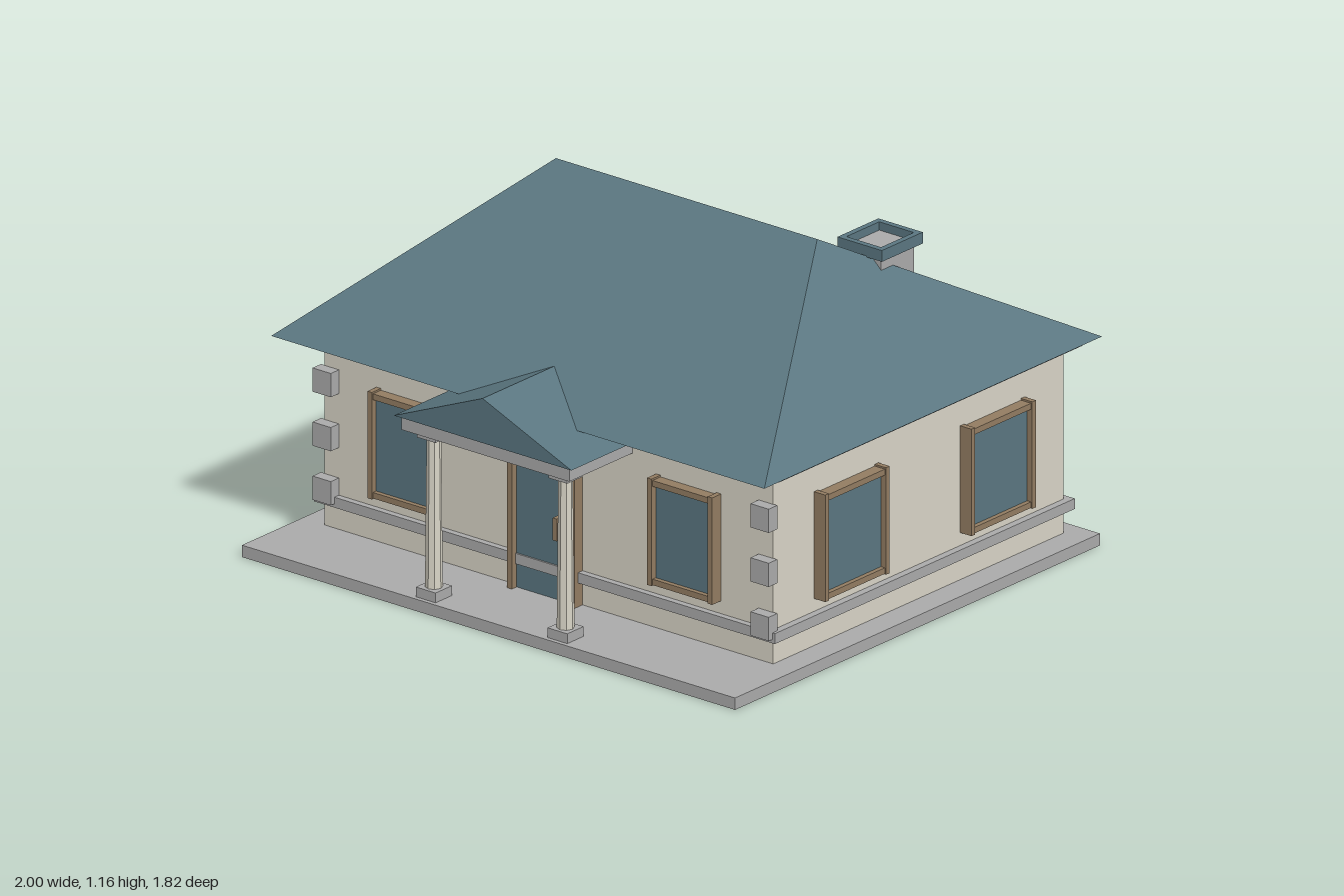
import * as THREE from 'three';

const mat = (color) => new THREE.MeshStandardMaterial({ color, flatShading: true });

export function createModel() {
  const house = new THREE.Group();
  house.name = 'house';
  const wall = mat(0xd8d4c6), stone = mat(0xaaaaaa), blue = mat(0x5a7680), wood = mat(0x927c62);

  const add = (parent, name, geometry, material) => {
    const mesh = new THREE.Mesh(geometry, material);
    mesh.name = name;
    parent.add(mesh);
    return mesh;
  };
  // Box given by its limits on each axis
  const box = (parent, name, material, x0, x1, y0, y1, z0, z1) => {
    const mesh = add(parent, name, new THREE.BoxGeometry(x1 - x0, y1 - y0, z1 - z0), material);
    mesh.position.set((x0 + x1) / 2, (y0 + y1) / 2, (z0 + z1) / 2);
    return mesh;
  };
  const group = (name) => {
    const g = new THREE.Group();
    g.name = name;
    house.add(g);
    return g;
  };

  // Slab, walls and the two mouldings around them
  box(house, 'groundSlab', stone, -1, 1, 0, 0.04, -0.9, 0.885);
  box(house, 'walls', wall, -0.91, 0.91, 0.04, 0.7, -0.83, 0.59);
  box(house, 'plinthBand', stone, -0.935, 0.935, 0.12, 0.155, -0.855, 0.612);
  box(house, 'cornice', stone, -0.95, 0.95, 0.667, 0.7, -0.875, 0.612);

  // Hip roof: four eave corners and two ridge ends
  const hip = new THREE.BufferGeometry();
  hip.setAttribute('position', new THREE.Float32BufferAttribute([
    -1, 0.7, 0.742, 1, 0.7, 0.742, 1, 0.7, -0.91, -1, 0.7, -0.91,
    -0.53, 1.163, -0.084, 0.53, 1.163, -0.084], 3));
  hip.setIndex([0, 1, 5, 0, 5, 4, 1, 2, 5, 2, 3, 4, 2, 4, 5, 3, 0, 4, 0, 3, 2, 0, 2, 1]);
  const hipFlat = hip.toNonIndexed();
  hipFlat.computeVertexNormals();
  add(house, 'mainRoof', hipFlat, blue);

  // Chimney with an open cap
  const chimney = group('chimney');
  box(chimney, 'chimneyStack', stone, 0.515, 0.655, 0.9, 1.09, -0.405, -0.245);
  const capShape = new THREE.Shape([[-0.09, -0.1], [0.09, -0.1], [0.09, 0.1], [-0.09, 0.1]]
    .map(([x, y]) => new THREE.Vector2(x, y)));
  capShape.holes.push(new THREE.Path([[-0.07, -0.08], [-0.07, 0.08], [0.07, 0.08], [0.07, -0.08]]
    .map(([x, y]) => new THREE.Vector2(x, y))));
  const capGeometry = new THREE.ExtrudeGeometry(capShape, { depth: 0.038, bevelEnabled: false });
  capGeometry.rotateX(-Math.PI / 2);
  add(chimney, 'chimneyCap', capGeometry, blue).position.set(0.585, 1.08, -0.325);

  // Corner stones on the front
  for (const s of [-1, 1]) {
    for (const y of [0.173, 0.355, 0.537]) {
      box(house, 'cornerStone', stone, s * 0.888 - 0.037, s * 0.888 + 0.037, y - 0.04, y + 0.04, 0.588, 0.63);
    }
  }

  // Window: pane, two posts and two rails, facing +z with its back at z = 0
  const makeWindow = (w) => {
    const g = group('window');
    const h = w / 2;
    box(g, 'pane', blue, -h + 0.01, h - 0.01, 0.21, 0.545, -0.01, 0.025);
    for (const s of [-1, 1]) {
      box(g, 'post', wood, s * (h - 0.009) - 0.009, s * (h - 0.009) + 0.009, 0.198, 0.558, -0.005, 0.046);
    }
    for (const y of [0.21, 0.542]) {
      box(g, 'rail', wood, -h + 0.018, h - 0.018, y - 0.01, y + 0.01, -0.005, 0.041);
    }
    return g;
  };
  for (const x of [-0.567, 0.567]) makeWindow(0.264).position.set(x, 0, 0.588);
  for (const z of [0.233, -0.482]) {
    const side = makeWindow(0.315);
    side.position.set(0.91, 0, z);
    side.rotation.y = Math.PI / 2;
  }

  // Door with frame and handle
  const door = group('door');
  box(door, 'doorLeaf', blue, -0.122, 0.122, 0.04, 0.53, 0.57, 0.606);
  for (const s of [-1, 1]) {
    box(door, 'doorPost', wood, s * 0.127 - 0.01, s * 0.127 + 0.01, 0.04, 0.548, 0.585, 0.63);
  }
  box(door, 'doorLintel', wood, -0.117, 0.117, 0.52, 0.542, 0.585, 0.626);
  box(door, 'doorHandle', wood, 0.065, 0.082, 0.258, 0.333, 0.6, 0.65);

  // Porch: columns, beam slab and gable roof
  const porch = group('porch');
  for (const x of [-0.267, 0.267]) {
    box(porch, 'columnBase', stone, x - 0.04, x + 0.04, 0.04, 0.073, 0.79, 0.87);
    const shaft = add(porch, 'columnShaft', new THREE.CylinderGeometry(0.023, 0.028, 0.51, 8), wall);
    shaft.position.set(x, 0.326, 0.83);
    box(porch, 'columnCapital', stone, x - 0.038, x + 0.038, 0.577, 0.605, 0.792, 0.868);
  }
  box(porch, 'porchBeam', stone, -0.34, 0.34, 0.603, 0.65, 0.58, 0.9);
  const gable = new THREE.Shape([new THREE.Vector2(-0.36, 0.65), new THREE.Vector2(0.36, 0.65),
    new THREE.Vector2(0, 0.8)]);
  add(porch, 'porchRoof', new THREE.ExtrudeGeometry(gable, { depth: 0.364, bevelEnabled: false }), blue)
    .position.z = 0.55;

  return house;
}
